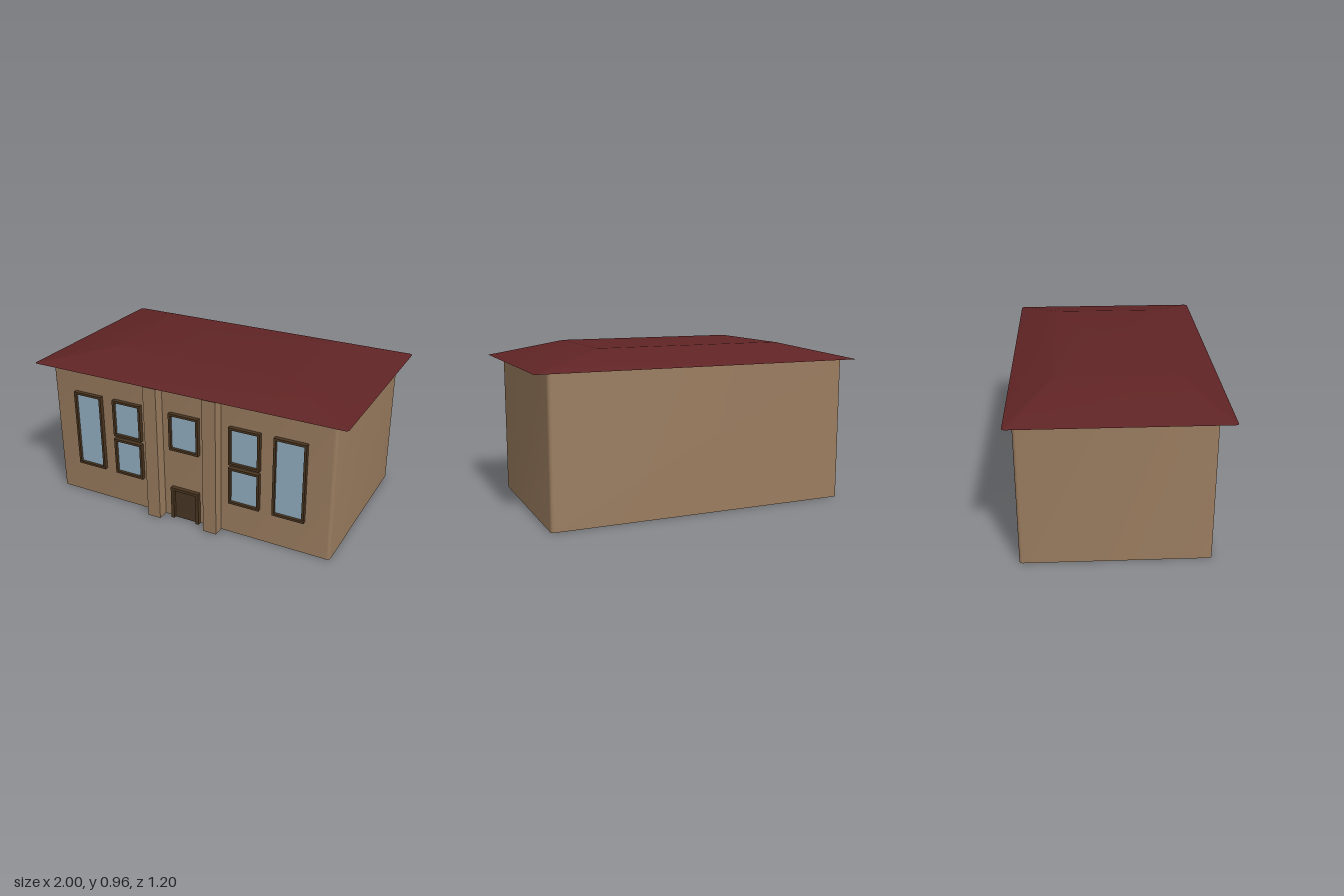
import * as THREE from 'three';
import { toCreasedNormals } from 'three/addons/utils/BufferGeometryUtils.js';

const material = (name, color, side = THREE.FrontSide) => {
  const m = new THREE.MeshStandardMaterial({ color, side });
  m.name = name;
  return m;
};

// Corner points of a rounded rectangle, counter-clockwise
function roundedRect(hx, hy, r, segments = 4) {
  const points = [];
  [[1, 1], [-1, 1], [-1, -1], [1, -1]].forEach(([sx, sy], q) => {
    for (let i = 0; i <= segments; i++) {
      const a = (q + i / segments) * Math.PI / 2;
      points.push(new THREE.Vector2(sx * (hx - r) + r * Math.cos(a), sy * (hy - r) + r * Math.sin(a)));
    }
  });
  return points;
}

// Closed solid through stacked rounded rectangles: [half width, half depth, radius, y]
function stackedSolid(levels) {
  const rings = levels.map(([hx, hz, r, y]) =>
    roundedRect(hx, hz, r).map(p => new THREE.Vector3(p.x, y, -p.y)));
  const out = [];
  const tri = (...corners) => corners.forEach(v => out.push(v.x, v.y, v.z));
  const n = rings[0].length;
  const last = rings.length - 1;
  const bottom = new THREE.Vector3(0, levels[0][3], 0);
  const top = new THREE.Vector3(0, levels[last][3], 0);
  for (let i = 0; i < n; i++) {
    const j = (i + 1) % n;
    for (let k = 0; k < last; k++) {
      const a = rings[k], b = rings[k + 1];
      tri(a[i], a[j], b[j]);
      tri(a[i], b[j], b[i]);
    }
    tri(bottom, rings[0][j], rings[0][i]);
    tri(top, rings[last][i], rings[last][j]);
  }
  const g = new THREE.BufferGeometry();
  g.setAttribute('position', new THREE.Float32BufferAttribute(out, 3));
  g.computeVertexNormals();
  return toCreasedNormals(g, 0.45);
}

export function createModel() {
  const wall = material('tan wall', 0x9a7c5f);
  const roofRed = material('dark red roof', 0x602425);
  const trim = material('dark brown trim', 0x4a3520);
  const doorBrown = material('door brown', 0x483726);
  const glass = material('blue glass', 0x94b0c3);

  const house = new THREE.Group();
  house.name = 'house';
  const add = (name, geometry, mat, parent = house) => {
    const mesh = new THREE.Mesh(geometry, mat);
    mesh.name = name;
    parent.add(mesh);
    return mesh;
  };
  const box = (name, x0, x1, y0, y1, z0, z1, mat, parent) => {
    const mesh = add(name, new THREE.BoxGeometry(x1 - x0, y1 - y0, z1 - z0), mat, parent);
    mesh.position.set((x0 + x1) / 2, (y0 + y1) / 2, (z0 + z1) / 2);
    return mesh;
  };

  const front = 0.52, back = -0.555, eaves = 0.865;

  // Walls with softly rounded vertical corners
  const depth = front - back;
  const walls = add('walls', stackedSolid([[0.92, depth / 2, 0.02, 0], [0.92, depth / 2, 0.02, eaves]]), wall);
  walls.position.z = (front + back) / 2;

  // Hipped roof with a flat top
  add('roof', stackedSolid([
    [1, 0.6, 0.02, eaves],
    [0.59, 0.352, 0.02, 0.962],
    [0.57, 0.335, 0.02, 0.965],
  ]), roofRed);

  // Pilasters beside the entrance
  for (const s of [-1, 1]) {
    const x = s * 0.192;
    box(s > 0 ? 'leftPilaster' : 'rightPilaster', x - 0.043, x + 0.043, 0, eaves, 0.5, 0.588, wall);
  }

  // Framed windows
  const frameFront = 0.546, t = 0.014;
  const addWindow = (name, x, w, y0, y1) => {
    const group = new THREE.Group();
    group.name = name;
    house.add(group);
    const h = y1 - y0;
    const outline = new THREE.Shape([[-1, -1], [1, -1], [1, 1], [-1, 1]]
      .map(([sx, sy]) => new THREE.Vector2(sx * w / 2, sy * h / 2)));
    outline.holes.push(new THREE.Path([[-1, -1], [-1, 1], [1, 1], [1, -1]]
      .map(([sx, sy]) => new THREE.Vector2(sx * (w / 2 - t), sy * (h / 2 - t)))));
    const frame = add('windowFrame', new THREE.ExtrudeGeometry(outline,
      { depth: frameFront - front, bevelEnabled: false }), trim, group);
    frame.position.set(x, (y0 + y1) / 2, front);
    box('windowPane', x - w / 2 + t, x + w / 2 - t, y0 + t, y1 - t, front, front + 0.009, glass, group);
  };
  addWindow('entranceWindow', 0, 0.194, 0.465, 0.702);
  for (const s of [-1, 1]) {
    const side = s > 0 ? 'left' : 'right';
    addWindow(side + 'UpperWindow', s * 0.389, 0.194, 0.465, 0.702);
    addWindow(side + 'LowerWindow', s * 0.389, 0.194, 0.21, 0.446);
    addWindow(side + 'TallWindow', s * 0.666, 0.194, 0.21, 0.702);
  }

  // Door set back inside its frame
  const entrance = new THREE.Group();
  entrance.name = 'entrance';
  house.add(entrance);
  box('door', -0.073, 0.073, 0, 0.192, front, front + 0.007, doorBrown, entrance);
  box('doorLintel', -0.094, 0.094, 0.192, 0.21, front, frameFront, trim, entrance);
  for (const s of [-1, 1]) {
    box('doorJamb', s * 0.0835 - 0.0105, s * 0.0835 + 0.0105, 0, 0.192, front, frameFront, trim, entrance);
  }
  return house;
}
